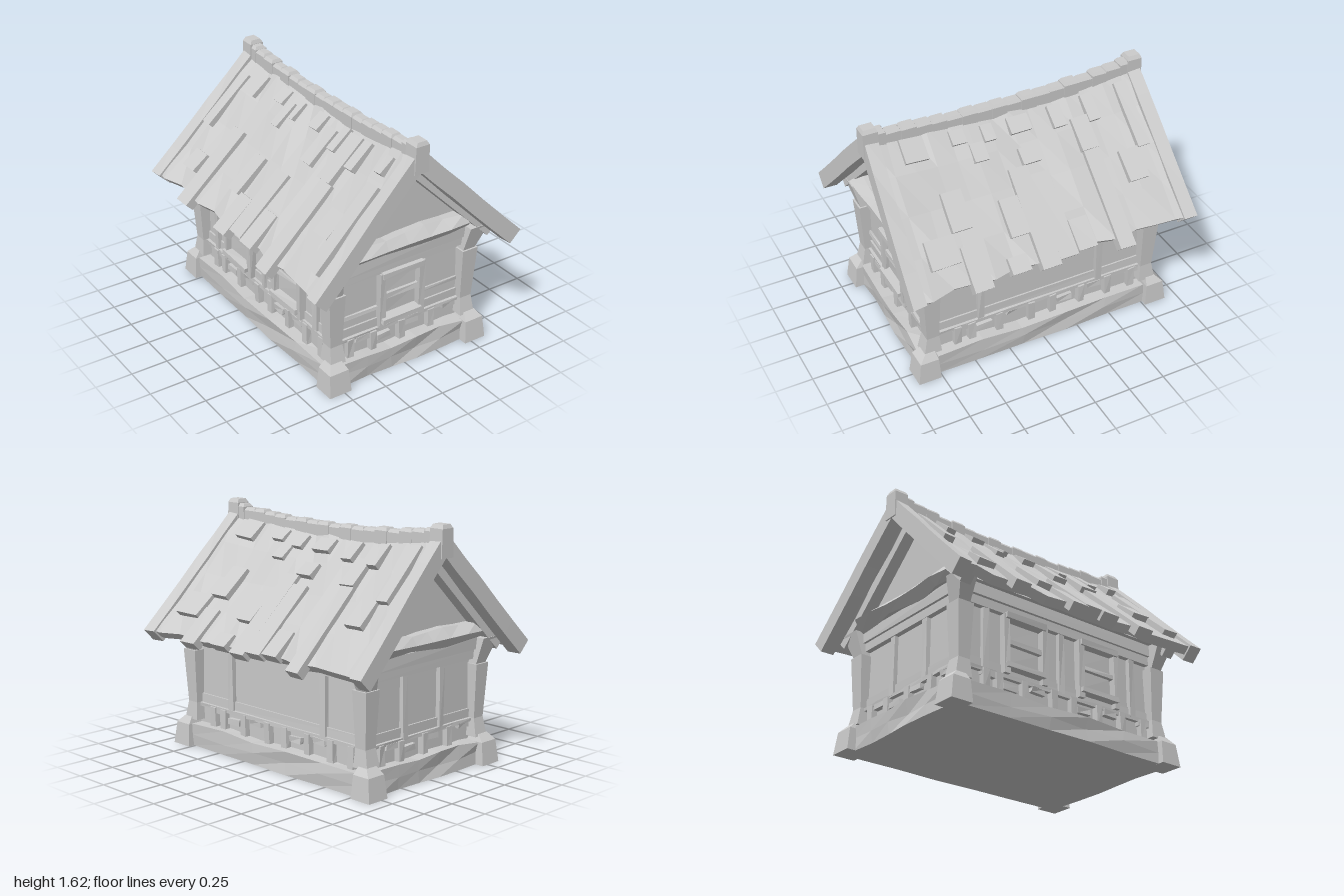
import * as THREE from 'three';

const material = new THREE.MeshStandardMaterial({ color: 0xcccccc, flatShading: true });

// repeatable noise in -1..1 from a position
function noise(x, y, z, k) {
  const n = Math.sin(x * 127.1 + y * 311.7 + z * 74.7 + k * 53.3) * 43758.5453;
  return (n - Math.floor(n)) * 2 - 1;
}

// apply a rule to every corner, then split faces for flat shading
function shapeMesh(name, geometry, rule) {
  const p = geometry.attributes.position, v = new THREE.Vector3();
  for (let i = 0; i < p.count; i++) {
    rule(v.fromBufferAttribute(p, i));
    p.setXYZ(i, v.x, v.y, v.z);
  }
  const flat = geometry.toNonIndexed();
  flat.computeVertexNormals();
  const mesh = new THREE.Mesh(flat, material);
  mesh.name = name;
  return mesh;
}

// hand-hewn box given by its limits
function hewn(parent, name, [x0, x1], [y0, y1], [z0, z1], rough = 0.004, seg = [1, 1, 1]) {
  const box = new THREE.BoxGeometry(1, 1, 1, ...seg);
  const mesh = shapeMesh(name, box, (v) => {
    v.set(x0 + (v.x + 0.5) * (x1 - x0), y0 + (v.y + 0.5) * (y1 - y0), z0 + (v.z + 0.5) * (z1 - z0));
    const { x, y, z } = v;
    v.x += noise(x, y, z, 1) * rough;
    if (y > 0.001) v.y += noise(x, y, z, 2) * rough;
    v.z += noise(x, y, z, 3) * rough;
  });
  parent.add(mesh);
  return mesh;
}

// tapered block from a bottom and a top rectangle [x0, x1, z0, z1]
function taper(parent, name, y0, y1, low, high) {
  parent.add(shapeMesh(name, new THREE.BoxGeometry(1, 1, 1), (v) => {
    const r = v.y > 0 ? high : low;
    v.set(v.x < 0 ? r[0] : r[1], v.y > 0 ? y1 : y0, v.z < 0 ? r[2] : r[3]);
  }));
}

// sagging roof surface on the +x slope: s from ridge to eave, h above the surface
function roofPoint(v, s, z, h) {
  const t = z * z;
  return v.set(
    0.01 + s * (0.71 + 0.025 * t) + h * 0.7,
    1.475 + 0.055 * t - s * (0.68 + 0.055 * t) + h * 0.7,
    z * (0.955 + 0.04 * Math.min(s, 1)));
}

function roofBlock(name, s0, s1, z0, z1, h0, h1, seg = [1, 1, 1], rough = 0) {
  return shapeMesh(name, new THREE.BoxGeometry(1, 1, 1, ...seg), (v) => {
    const end = v.x > 0.49;
    const s = s0 + (v.x + 0.5) * (s1 - s0), z = z0 + (v.z + 0.5) * (z1 - z0);
    const n = noise(s, 0, z, 4);
    const top = v.y > 0 ? h1 * (end || seg[0] > 1 ? 1 : 0.6) : h0;
    const edge = Math.abs(v.z) > 0.49;
    roofPoint(v, s + (end ? n * rough : 0), z + (edge ? 0 : n * rough * 0.6), top + n * rough * 0.7);
  });
}

// raised shakes: [z0, z1, x0, x1] on each slope
const shakesPosX = [
  [0.62, 0.78, 0.03, 0.14], [0.62, 0.82, 0.48, 0.61], [0.48, 0.62, 0.3, 0.48], [0.34, 0.44, 0.04, 0.11],
  [0.23, 0.33, 0.12, 0.21], [0.14, 0.22, 0.05, 0.13], [0.13, 0.26, 0.4, 0.58], [-0.12, 0.03, 0.05, 0.13],
  [-0.11, 0.02, 0.2, 0.28], [-0.13, 0, 0.33, 0.74], [0, 0.13, 0.28, 0.76], [-0.36, -0.27, 0.05, 0.16],
  [-0.6, -0.52, 0.05, 0.18], [-0.52, -0.4, 0.14, 0.3], [-0.52, -0.41, 0.3, 0.78], [-0.27, -0.14, 0.58, 0.73],
  [-0.78, -0.64, 0.35, 0.5], [-0.87, -0.78, 0.05, 0.36], [0.47, 0.6, 0.55, 0.76], [0.2, 0.33, 0.66, 0.74],
];
const shakesNegX = [
  [-0.77, -0.64, 0.52, 0.62], [-0.69, -0.62, 0.05, 0.17], [-0.6, -0.48, 0.33, 0.77], [-0.44, -0.34, 0.04, 0.12],
  [-0.31, -0.24, 0.08, 0.22], [-0.26, -0.15, 0.37, 0.58], [-0.2, -0.16, 0.05, 0.15], [-0.14, -0.01, 0.56, 0.77],
  [0, 0.13, 0.37, 0.73], [0, 0.1, 0.04, 0.13], [0.14, 0.27, 0.55, 0.74], [0.14, 0.25, 0.08, 0.28],
  [0.28, 0.35, 0.04, 0.17], [0.4, 0.52, 0.3, 0.78], [0.37, 0.5, 0.05, 0.3], [0.52, 0.6, 0.05, 0.2],
  [0.64, 0.78, 0.37, 0.5], [0.77, 0.88, 0.2, 0.64], [0.77, 0.84, 0.06, 0.15], [-0.88, -0.8, 0.1, 0.4],
];

function roofSlope(shakes, flip) {
  const g = new THREE.Group();
  g.name = 'roofSlope';
  g.add(roofBlock('roofCover', 0, 1, -1, 1, -0.06, 0.002, [4, 1, 14], 0.018));
  for (const [z0, z1, x0, x1] of shakes) {
    const [a, b] = flip ? [-z1, -z0] : [z0, z1];
    g.add(roofBlock('shake', x0 / 0.72, x1 / 0.72, a, b, -0.03, 0.04));
  }
  // gable edge boards and inner rafters
  for (const e of [-1, 1]) {
    const span = (a, b) => [Math.min(a * e, b * e), Math.max(a * e, b * e)];
    g.add(roofBlock('bargeBoard', -0.01, 1.02, ...span(0.91, 1.003), -0.09, 0.022, [5, 1, 1], 0.006));
    g.add(roofBlock('innerRafter', 0, 0.95, ...span(0.8, 0.88), -0.125, -0.03));
  }
  if (flip) g.rotation.y = Math.PI;
  return g;
}

function windowFrame(wall, u) {
  hewn(wall, 'windowLintel', [u - 0.16, u + 0.15], [0.66, 0.7], [0, 0.065]);
  hewn(wall, 'windowSill', [u - 0.16, u + 0.14], [0.335, 0.37], [0, 0.07]);
  hewn(wall, 'windowRail', [u - 0.13, u + 0.13], [0.5, 0.53], [0, 0.035]);
  for (const s of [-1, 1]) hewn(wall, 'windowJamb', [u + s * 0.15 - 0.02, u + s * 0.15 + 0.02], [0.3, 0.69], [0, 0.05]);
  for (const y of [0.385, 0.535]) hewn(wall, 'windowPane', [u - 0.118, u + 0.11], [y, y + 0.11], [0, 0.02]);
}

// one timber-framed wall, built facing +z and turned into place
function wallSide(name, half, dist, angle, posts, windows, studs, bricks) {
  const wall = new THREE.Group();
  wall.name = name;
  hewn(wall, 'lowerRail', [-half, half], [0.29, 0.36], [-0.03, 0.012], 0.002);
  hewn(wall, 'sillBeam', [-half, half], [0.275, 0.3], [-0.03, 0.03], 0.003, [6, 1, 1]);
  hewn(wall, 'topBeam', [-half, half], [0.69, 0.75], [-0.03, 0.035], 0.002);
  hewn(wall, 'wallPlate', [-half, half], [0.75, 0.83], [-0.03, 0.05], 0.003);
  for (const u of posts) hewn(wall, 'wallPost', [u - 0.022, u + 0.022], [0.29, 0.7], [-0.03, 0.03]);
  for (const u of windows) windowFrame(wall, u);
  for (const u of studs) hewn(wall, 'footStud', [u - 0.024, u + 0.024], [0.14, 0.29], [-0.03, 0.04]);
  for (const [u, y] of bricks) hewn(wall, 'stoneBlock', [u - 0.052, u + 0.052], [y - 0.02, y + 0.02], [-0.03, 0.03], 0.005);
  // rough plinth stones with a battered face
  const base = hewn(wall, 'plinth', [-half, half], [0, 0.155], [-0.1, 0.085], 0.012, [5, 2, 1]);
  base.position.z = 0;
  wall.rotation.y = angle;
  wall.position.set(Math.sin(angle) * dist, 0, Math.cos(angle) * dist);
  return wall;
}

export function createModel() {
  const house = new THREE.Group();
  house.name = 'timberHouse';

  // core walls with closed gables
  const outline = new THREE.Shape([[-0.49, 0], [0.49, 0], [0.49, 0.83], [0.57, 0.83], [0, 1.41], [-0.57, 0.83], [-0.49, 0.83]]
    .map(([x, y]) => new THREE.Vector2(x, y)));
  const core = new THREE.Mesh(new THREE.ExtrudeGeometry(outline, { depth: 1.54, bevelEnabled: false }), material);
  core.name = 'walls';
  core.position.z = -0.77;
  house.add(core);

  // framed sides
  const endStuds = [-0.38, -0.21, 0.01, 0.24];
  const endBricks = [[-0.29, 0.265], [-0.125, 0.222], [0.09, 0.26], [0.39, 0.268]];
  const sideStuds = [-0.6, -0.5, -0.3, -0.07, 0.09, 0.3, 0.5, 0.68];
  const sideBricks = [[-0.575, 0.268], [-0.405, 0.222], [-0.19, 0.26], [0.18, 0.222], [0.4, 0.26], [0.7, 0.268]];
  const front = wallSide('frontWall', 0.48, 0.77, 0, [], [0], endStuds, endBricks);
  for (const s of [-1, 1]) hewn(front, 'midRail', [s * 0.31 - 0.14, s * 0.31 + 0.14], [0.43, 0.452], [0, 0.018]);
  house.add(front);
  house.add(wallSide('backWall', 0.48, 0.77, Math.PI, [-0.17, 0.17], [], endStuds, endBricks));
  house.add(wallSide('leftWall', 0.76, 0.49, Math.PI / 2, [-0.43, 0.43], [], sideStuds, sideBricks));
  house.add(wallSide('rightWall', 0.76, 0.49, -Math.PI / 2, [-0.6, 0, 0.6], [-0.3, 0.3], sideStuds, sideBricks));

  // corner posts on stone feet, with flared heads; mirrored by half turns and swaps
  for (const sx of [-1, 1]) for (const sz of [-1, 1]) {
    const corner = new THREE.Group();
    corner.name = 'cornerPost';
    const r = (x0, x1, z0, z1) => [
      Math.min(sx * x0, sx * x1), Math.max(sx * x0, sx * x1),
      Math.min(sz * z0, sz * z1), Math.max(sz * z0, sz * z1)];
    taper(corner, 'cornerStone', 0, 0.15, r(0.45, 0.61, 0.76, 0.915), r(0.46, 0.597, 0.77, 0.895));
    taper(corner, 'cornerStoneTop', 0.15, 0.195, r(0.46, 0.597, 0.77, 0.895), r(0.48, 0.565, 0.78, 0.85));
    taper(corner, 'shaftLower', 0.18, 0.3, r(0.45, 0.56, 0.73, 0.85), r(0.46, 0.548, 0.74, 0.825));
    taper(corner, 'shaft', 0.3, 0.66, r(0.46, 0.548, 0.74, 0.825), r(0.45, 0.568, 0.73, 0.845));
    taper(corner, 'head', 0.65, 0.83, r(0.46, 0.55, 0.75, 0.83), r(0.48, 0.63, 0.75, 0.875));
    house.add(corner);
  }

  // crooked log across each gable
  for (const e of [0, Math.PI]) {
    const log = shapeMesh('gableLog', new THREE.BoxGeometry(1, 1, 1, 6, 2, 1), (v) => {
      const u = v.x, y = v.y, n = noise(u, y, v.z, 6);
      const z = v.z < 0 ? 0.74 : 0.83 + (Math.abs(y) < 0.1 ? 0.05 : 0) + n * 0.015;
      v.set(u * (0.94 - 0.12 * y), 0.885 + y * (0.115 + 0.02 * Math.sin(u * 9)) + n * 0.007, z);
    });
    log.rotation.y = e;
    house.add(log);
  }

  // roof slopes
  house.add(roofSlope(shakesPosX, false), roofSlope(shakesNegX, true));

  // ridge of chipped blocks following the sag, with end blocks
  const count = 18;
  for (let i = 0; i < count; i++) {
    const z0 = -0.92 + i * 1.84 / count, z1 = z0 + 1.84 / count;
    const t = ((z0 + z1) / 2) ** 2;
    const n = noise(i, 1, 2, 5);
    const top = 1.53 + 0.07 * t + n * 0.008, w = 0.04 + n * 0.005;
    taper(house, 'ridgeBlock', 1.42, top - 0.02, [-w, w, z0, z1], [-w, w, z0, z1]);
    taper(house, 'ridgeBlockTop', top - 0.02, top, [-w, w, z0, z1], [-w + 0.015, w - 0.015, z0 + 0.012, z1 - 0.012]);
  }
  for (const e of [-1, 1]) {
    const a = Math.min(e * 0.87, e * 0.97), b = Math.max(e * 0.87, e * 0.97);
    taper(house, 'ridgeEnd', 1.41, 1.59, [-0.053, 0.053, a, b], [-0.048, 0.048, a, b]);
    taper(house, 'ridgeEndTop', 1.59, 1.615, [-0.048, 0.048, a, b], [-0.033, 0.033, a + 0.01, b - 0.01]);
  }
  return house;
}
